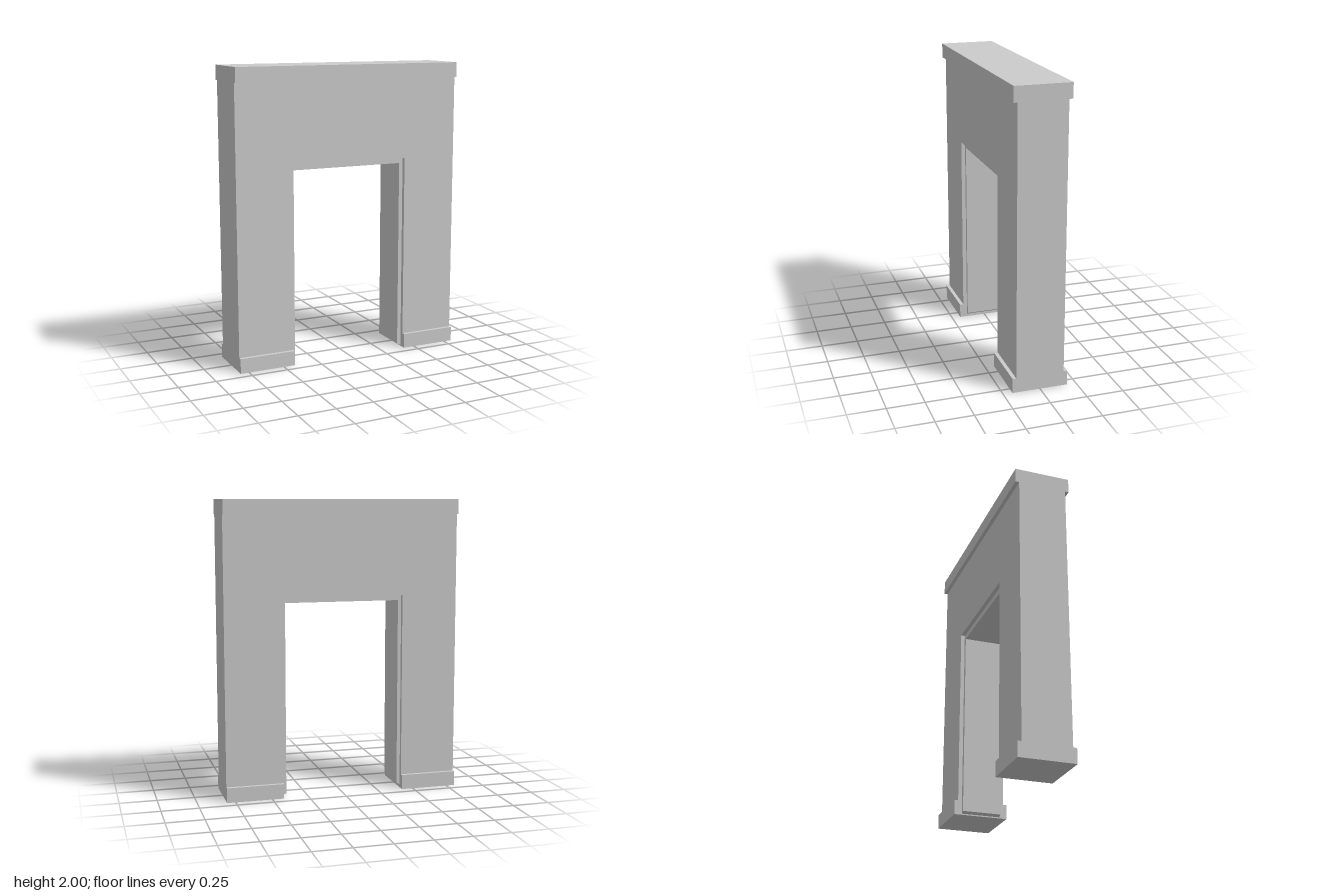
import * as THREE from 'three';

const material = new THREE.MeshStandardMaterial({ color: 0xcccccc, flatShading: true });
const HALF = 0.808, OPEN = 0.42, OPEN_TOP = 1.355, BAND = 0.1;

// Extrudes an outline of [x, y] points, centred on z = 0
function slab(name, points, depth) {
  const shape = new THREE.Shape(points.map(([x, y]) => new THREE.Vector2(x, y)));
  const geometry = new THREE.ExtrudeGeometry(shape, { depth, bevelEnabled: false });
  geometry.translate(0, 0, -depth / 2);
  const mesh = new THREE.Mesh(geometry, material);
  mesh.name = name;
  return mesh;
}

function block(name, width, height, depth, x, y) {
  const mesh = new THREE.Mesh(new THREE.BoxGeometry(width, height, depth), material);
  mesh.name = name;
  mesh.position.set(x, y, 0);
  return mesh;
}

export function createModel() {
  const model = new THREE.Group();
  model.name = 'doorwayArch';

  // Wall with the doorway cut out, between the plinths and the top band
  model.add(slab('wall', [
    [-HALF, BAND], [-OPEN, BAND], [-OPEN, OPEN_TOP], [OPEN, OPEN_TOP],
    [OPEN, BAND], [HALF, BAND], [HALF, 2 - BAND], [-HALF, 2 - BAND],
  ], 0.325));

  // Projecting top band
  model.add(block('topBand', HALF * 2, BAND, 0.375, 0, 2 - BAND / 2));

  // Plinth under each leg
  for (const [name, side] of [['leftPlinth', 1], ['rightPlinth', -1]]) {
    model.add(block(name, HALF - OPEN, BAND, 0.375, side * (HALF + OPEN) / 2, BAND / 2));
  }

  // Door lining, set back from both faces, with slanted feet
  model.add(slab('doorLining', [
    [-OPEN, 0.02], [-0.397, 0.035], [-0.397, 1.318], [0.393, 1.318],
    [0.393, 0.02], [OPEN, 0.008], [OPEN, OPEN_TOP], [-OPEN, OPEN_TOP],
  ], 0.27));

  return model;
}
